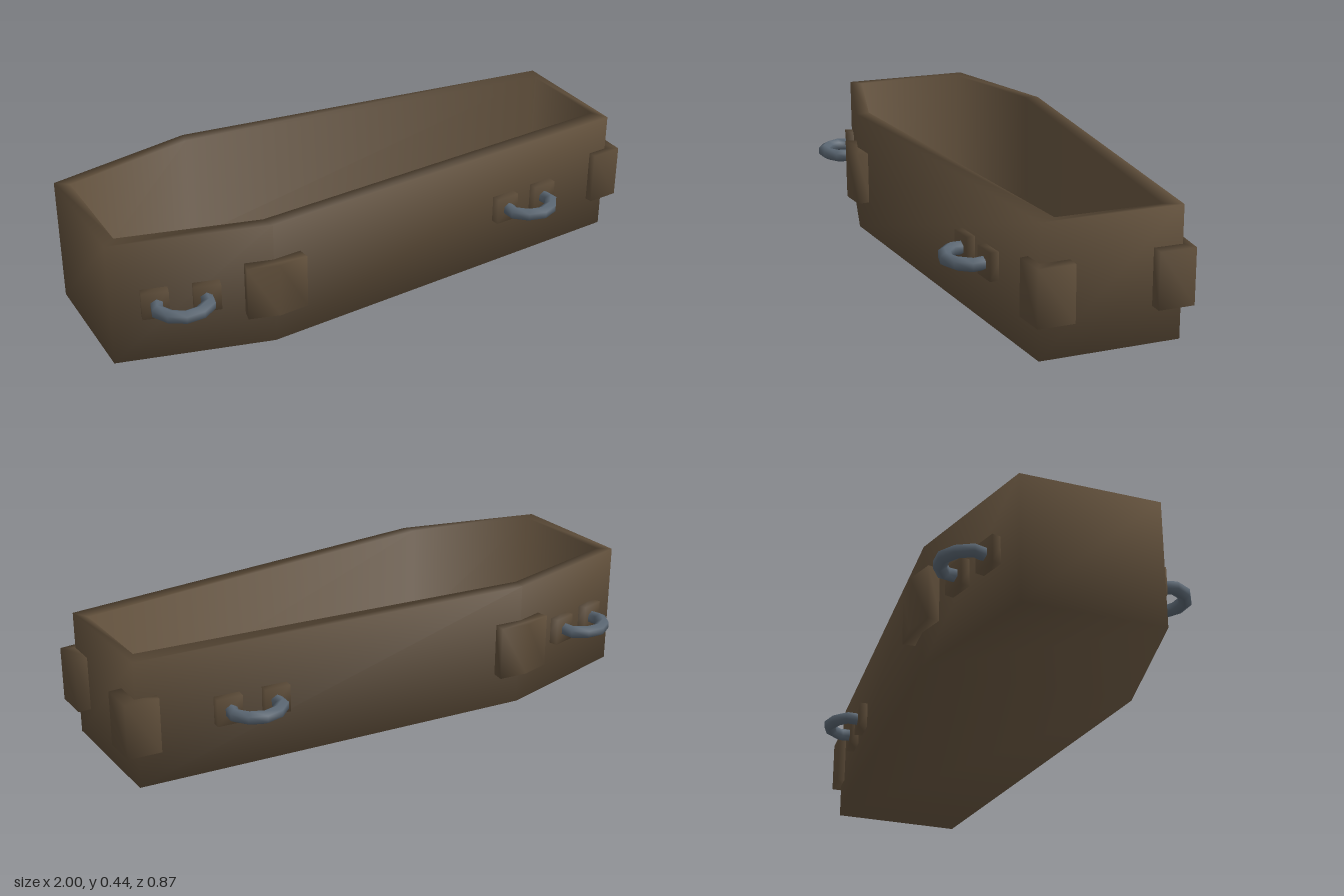
import * as THREE from 'three';
import { mergeVertices } from 'three/addons/utils/BufferGeometryUtils.js';

const wood = new THREE.MeshStandardMaterial({ color: 0x5f4e3a });
wood.name = 'dark wood';
const steel = new THREE.MeshStandardMaterial({ color: 0x5a6672 });
steel.name = 'dull steel';

// Share vertices so the shading runs smoothly across edges.
function smooth(geometry) {
  geometry.deleteAttribute('normal');
  geometry.deleteAttribute('uv');
  const g = mergeVertices(geometry, 1e-4);
  g.computeVertexNormals();
  return g;
}

function add(parent, geometry, material, name) {
  const mesh = new THREE.Mesh(geometry, material);
  mesh.name = name;
  parent.add(mesh);
  return mesh;
}

// Half outline along +z, mirrored to a full six-sided ring.
const ring = (half) => [...half, ...half.map(([x, z]) => [x, -z]).reverse()]
  .map(([x, z]) => new THREE.Vector2(x, z));
const outer = ring([[-1, 0.24], [-0.475, 0.37], [0.955, 0.24]]);
const inner = ring([[-0.955, 0.205], [-0.485, 0.32], [0.925, 0.18]]);

// Open box: bottom, outer wall, rim, inner wall and deep floor, softly shaded.
function bodyGeometry() {
  // outline, height, and the way its corners face: outwards/inwards, up/down
  const levels = [[outer, 0, 1, -1], [outer, 0.443, 1, 1], [inner, 0.443, -1, 1], [inner, 0.04, -1, 1]];
  const pos = [], normals = [], idx = [], n = 6;
  for (const [points, y, out, up] of levels) {
    points.forEach((p, i) => {
      const before = p.clone().sub(points[(i + n - 1) % n]).normalize();
      const d = points[(i + 1) % n].clone().sub(p).normalize().add(before);
      pos.push(p.x, y, p.y);
      normals.push(...new THREE.Vector3(-d.y * out, up, d.x * out).normalize().toArray());
    });
  }
  for (let k = 0; k < levels.length - 1; k++) {
    for (let i = 0; i < n; i++) {
      const a = k * n + i, b = k * n + (i + 1) % n;
      idx.push(a, b, b + n, a, b + n, a + n);
    }
  }
  const floor = (levels.length - 1) * n;
  for (const [a, b, c] of [[0, 1, 4], [0, 4, 5], [1, 2, 3], [1, 3, 4]]) {
    idx.push(floor + a, floor + b, floor + c, a, c, b);
  }
  const g = new THREE.BufferGeometry();
  g.setAttribute('position', new THREE.Float32BufferAttribute(pos, 3));
  g.setAttribute('normal', new THREE.Float32BufferAttribute(normals, 3));
  g.setIndex(idx);
  return g;
}

// Bent corner plate, extruded upwards from its plan outline.
function plateGeometry(points, side) {
  const shape = new THREE.Shape(points.map(([x, z]) => new THREE.Vector2(x, -z * side)));
  const g = new THREE.ExtrudeGeometry(shape, { depth: 0.19, bevelEnabled: false });
  g.rotateX(-Math.PI / 2).translate(0, 0.125, 0);
  return smooth(g);
}

// Curved grip on two mounting blocks, set square to the wall.
function makeHandle(x, z, nx, nz) {
  const handle = new THREE.Group();
  handle.name = 'handle';
  for (const s of [-1, 1]) {
    const block = smooth(new THREE.BoxGeometry(0.09, 0.096, 0.05));
    add(handle, block, wood, 'handleMount').position.set(s * 0.085, 0, 0.005);
  }
  const path = new THREE.CatmullRomCurve3(
    [[-0.08, 0.015], [-0.088, 0.055], [-0.055, 0.1], [0, 0.12], [0.055, 0.1], [0.088, 0.055], [0.08, 0.015]]
      .map(([u, n]) => new THREE.Vector3(u, 0, n)));
  add(handle, new THREE.TubeGeometry(path, 6, 0.024, 6), steel, 'handleGrip');
  handle.position.set(x, 0.22, z);
  handle.rotation.y = Math.atan2(nx, nz);
  return handle;
}

export function createModel() {
  const model = new THREE.Group();
  model.name = 'coffin';
  add(model, bodyGeometry(), wood, 'body');

  const shoulder = [[-0.57, 0.34], [-0.58, 0.387], [-0.475, 0.415], [-0.37, 0.404], [-0.375, 0.355], [-0.475, 0.36]];
  const foot = [[0.88, 0.235], [0.885, 0.274], [1, 0.264], [1, 0.14], [0.945, 0.14], [0.945, 0.235]];
  for (const side of [1, -1]) {
    add(model, plateGeometry(shoulder, side), wood, 'shoulderPlate');
    add(model, plateGeometry(foot, side), wood, 'footPlate');
    model.add(makeHandle(-0.777, 0.296 * side, -0.24, 0.97 * side));
    model.add(makeHandle(0.562, 0.276 * side, 0.09, 0.996 * side));
  }
  return model;
}
